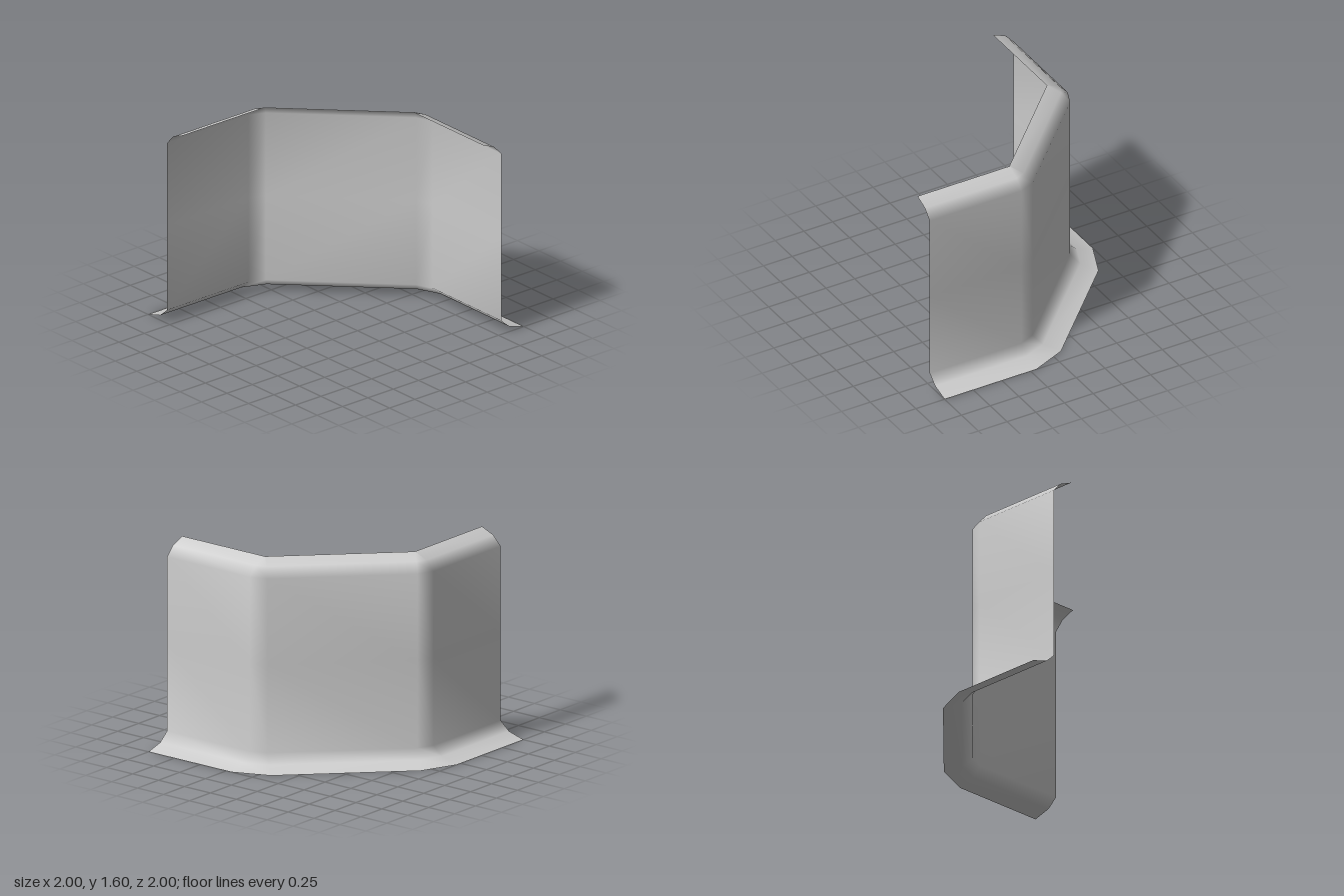
import * as THREE from 'three';

// Profile from the inner top lip down to the outer skirt: [outward offset, height]
const profile = [
  [0, 1.6], [0.11, 1.555], [0.18, 1.48], [0.18, 0.8],
  [0.18, 0.11], [0.26, 0.04], [0.4, 0],
];

// Stations along the inner edge: [x, z, outward angle in degrees from the back]
// Each bend has two stations at one pivot, giving a chamfered outer corner.
const stations = [
  [-1, -0.6, 0], [-0.2, -0.6, 0],
  [-0.2, -0.6, 45], [0.6, 0.2, 45],
  [0.6, 0.2, 90], [0.6, 1, 90],
];

function sweepGeometry() {
  const positions = [];
  const indices = [];
  const rows = profile.length;
  for (const [x, z, degrees] of stations) {
    const angle = THREE.MathUtils.degToRad(degrees);
    for (const [offset, y] of profile) {
      positions.push(x + Math.sin(angle) * offset, y, z - Math.cos(angle) * offset);
    }
  }
  for (let i = 0; i < stations.length - 1; i++) {
    const pivots = stations[i][0] === stations[i + 1][0] && stations[i][1] === stations[i + 1][1];
    for (let j = 0; j < rows - 1; j++) {
      const a = i * rows + j;
      const b = a + rows;
      // The lip collapses to a point where the path turns
      if (!(pivots && j === 0)) indices.push(a, b, a + 1);
      indices.push(b, b + 1, a + 1);
    }
  }
  const geometry = new THREE.BufferGeometry();
  geometry.setAttribute('position', new THREE.Float32BufferAttribute(positions, 3));
  geometry.setIndex(indices);
  geometry.computeVertexNormals();
  return geometry;
}

export function createModel() {
  const group = new THREE.Group();
  group.name = 'cornerWall';

  const material = new THREE.MeshStandardMaterial({ color: 0xcccccc, side: THREE.DoubleSide });
  material.name = 'light grey';

  // One continuous smooth sheet: top lip, wall and flared skirt
  const wall = new THREE.Mesh(sweepGeometry(), material);
  wall.name = 'wallSheet';
  group.add(wall);
  return group;
}
